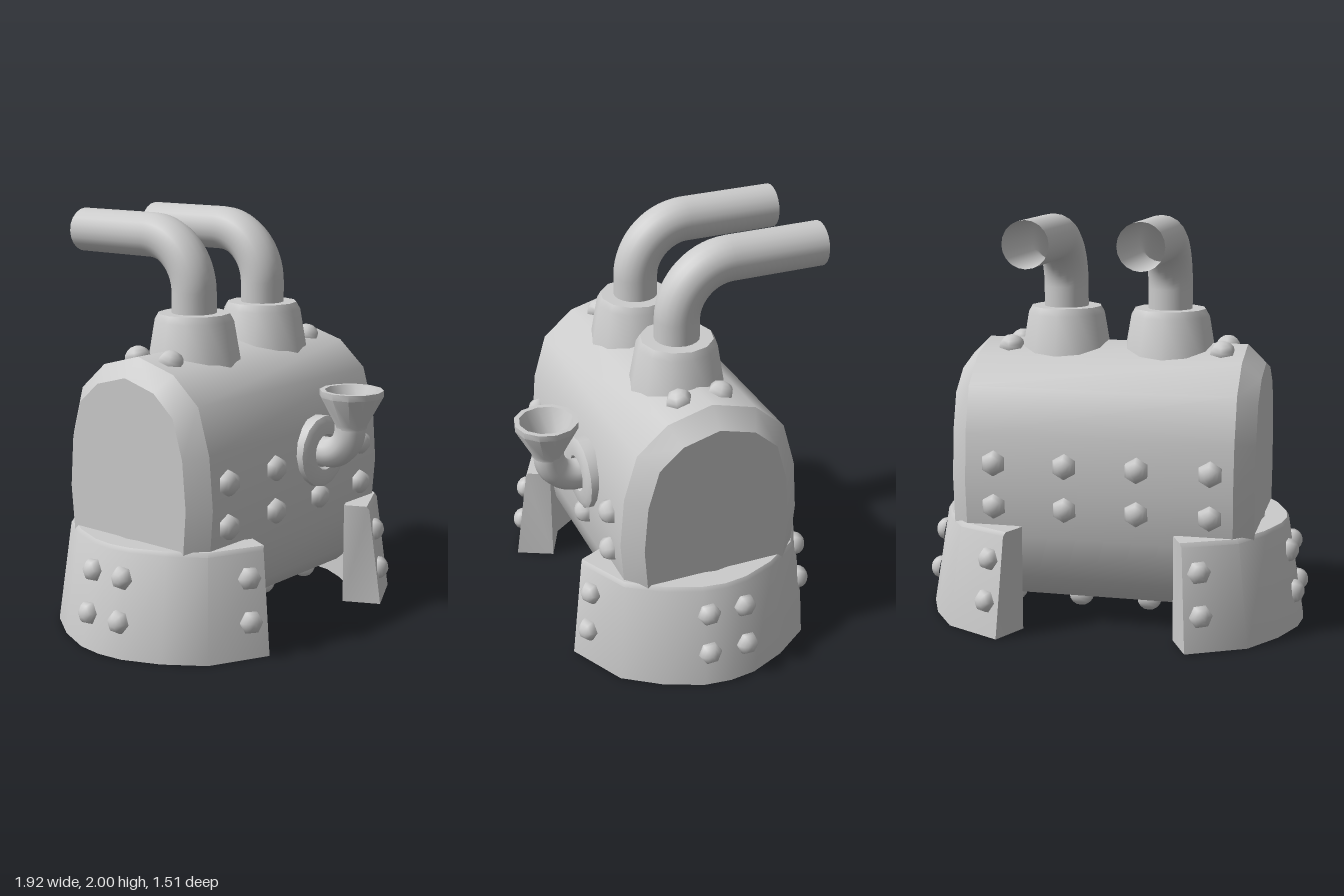
import * as THREE from 'three';
import { toCreasedNormals } from 'three/addons/utils/BufferGeometryUtils.js';

const material = new THREE.MeshStandardMaterial({ color: 0xcccccc });
const openMaterial = new THREE.MeshStandardMaterial({ color: 0xcccccc, side: THREE.DoubleSide });
const MID_Z = -0.03; // centre plane of the boiler
const V = (x, y, z) => new THREE.Vector3(x, y, z);

function addMesh(parent, name, geometry, mat = material) {
  const mesh = new THREE.Mesh(geometry, mat);
  mesh.name = name;
  parent.add(mesh);
  return mesh;
}

// Six-sided domed bolt, its dome pointing along the normal
const boltGeometry = new THREE.SphereGeometry(0.064, 6, 4, 0, Math.PI * 2, 0, Math.PI / 2)
  .rotateY(Math.PI / 2).scale(1, 0.88, 1);

function addBolt(parent, name, position, normal, size = 1) {
  const bolt = addMesh(parent, name, boltGeometry);
  bolt.position.copy(position);
  bolt.quaternion.setFromUnitVectors(V(0, 1, 0), normal.clone().normalize());
  bolt.scale.setScalar(size);
}

function lathe(points, segments) {
  const profile = points.map(([r, y]) => new THREE.Vector2(r, y));
  return toCreasedNormals(new THREE.LatheGeometry(profile, segments), 0.6);
}

// Pipe running from a to b with a rounded elbow between the two bend points
function elbowPipe(a, bendStart, corner, bendEnd, b, radius, sides) {
  const k = 0.5523;
  const path = new THREE.CurvePath();
  path.add(new THREE.LineCurve3(a, bendStart));
  path.add(new THREE.CubicBezierCurve3(bendStart, bendStart.clone().lerp(corner, k),
    bendEnd.clone().lerp(corner, k), bendEnd));
  path.add(new THREE.LineCurve3(bendEnd, b));
  return new THREE.TubeGeometry(path, 40, radius, sides);
}

// Boiler: squarish oval section with bevelled ends
function makeBody() {
  const quarter = [[0, 0.66], [0.22, 0.6], [0.37, 0.47], [0.435, 0.25], [0.455, 0]];
  const half = [...quarter, ...quarter.slice(0, -1).reverse().map(([z, y]) => [z, -y])];
  const outline = [...half, ...half.slice(1, -1).reverse().map(([z, y]) => [-z, y])];
  const shape = new THREE.Shape(outline.map(([z, y]) => new THREE.Vector2(z, y)));
  const geometry = new THREE.ExtrudeGeometry(shape, {
    depth: 1.3, bevelEnabled: true, bevelSegments: 1,
    bevelSize: 0.085, bevelOffset: -0.085, bevelThickness: 0.09,
  });
  geometry.translate(0, 0, -0.65).rotateY(Math.PI / 2).translate(0, 0.71, MID_Z - 0.005);
  return toCreasedNormals(geometry, 0.66);
}

// Curved foot: half outlines from the end to the middle, as [x, z]
const footBottom = [[0.457, 0.63], [0.735, 0.49], [0.86, 0.31], [0.935, 0.13], [0.95, 0]];
const footTop = [[0.43, 0.57], [0.68, 0.445], [0.79, 0.28], [0.855, 0.115], [0.87, 0]];
const footInner = [[0.37, 0.455], [0.57, 0.36], [0.67, 0.22], [0.735, 0.09], [0.75, 0]];

function makeFoot() {
  const rings = footBottom.map((bottom, i) => {
    const [inner, top] = [footInner[i], footTop[i]];
    return [
      [inner[0], 0, inner[1]],
      [bottom[0], 0, bottom[1]],
      [top[0], 0.495, top[1]],
      [top[0] - 0.012, 0.515, top[1] * 0.985],
      [inner[0], 0.515, inner[1]],
    ];
  });
  const mirrored = rings.slice(0, -1).reverse().map((ring) => ring.map(([x, y, z]) => [x, y, -z]));
  const stations = [...rings, ...mirrored];
  const n = 5;
  const last = (stations.length - 1) * n;
  const index = [];
  for (let i = 0; i < stations.length - 1; i++) {
    for (let j = 0; j < n; j++) {
      const a = i * n + j, d = i * n + (j + 1) % n;
      index.push(a, a + n, d + n, a, d + n, d);
    }
  }
  for (let j = 1; j < n - 1; j++) {
    index.push(0, j, j + 1, last, last + j + 1, last + j);
  }
  const geometry = new THREE.BufferGeometry();
  geometry.setAttribute('position', new THREE.Float32BufferAttribute(stations.flat(2), 3));
  geometry.setIndex(index);
  return toCreasedNormals(geometry.toNonIndexed(), 0.6);
}

// Two rows of bolts at four places round the foot
function addFootBolts(foot) {
  for (const [segment, t] of [[0, 0.28], [3, 0.22]]) {
    const at = (line) => new THREE.Vector2(...line[segment]).lerp(new THREE.Vector2(...line[segment + 1]), t);
    const bottom = at(footBottom), top = at(footTop);
    const edge = [0, 1].map((k) => footBottom[segment + 1][k] - footBottom[segment][k]);
    for (const y of [0.17, 0.375]) {
      const p = bottom.clone().lerp(top, y / 0.495);
      const normal = V(-edge[1], 0, edge[0]).normalize().setY(0.16);
      for (const s of [1, -1]) {
        addBolt(foot, 'footBolt', V(p.x, y, p.y * s), V(normal.x, normal.y, normal.z * s), 0.9);
      }
    }
  }
}

export function createModel() {
  const model = new THREE.Group();
  model.name = 'boiler';
  addMesh(model, 'body', makeBody());

  // Bolts round the boiler
  const bolts = new THREE.Group();
  bolts.name = 'bodyBolts';
  model.add(bolts);
  const columns = [-0.54, -0.19, 0.16, 0.51];
  columns.forEach((x, c) => {
    for (const s of [1, -1]) {
      for (const y of [0.61, 0.82]) {
        const underFlange = s === 1 && c === 2 && y > 0.7;
        if (!underFlange) addBolt(bolts, 'sideBolt', V(x, y, MID_Z + s * 0.445), V(0, 0, s));
      }
      const z = MID_Z - 0.005 + s * 0.105;
      addBolt(bolts, 'bottomBolt', V(x, 0.08, z), V(0, -1, s * 0.27));
      if (c === 0 || c === 3) addBolt(bolts, 'topBolt', V(x, 1.34, z), V(0, 1, s * 0.27));
    }
  });

  // Feet at both ends
  const footGeometry = makeFoot();
  [['leftFoot', 0], ['rightFoot', Math.PI]].forEach(([name, angle]) => {
    const foot = new THREE.Group();
    foot.name = name;
    foot.position.z = MID_Z;
    foot.rotation.y = angle;
    addMesh(foot, 'footPlate', footGeometry);
    addFootBolts(foot);
    model.add(foot);
  });

  // Exhaust stacks: tapered collar and bent open pipe
  const collar = lathe([[0.24, 1.24], [0.195, 1.5], [0.175, 1.535], [0.1, 1.535]], 12);
  const pipe = elbowPipe(V(0, 1.45, 0), V(0, 1.632, 0), V(0, 1.892, 0),
    V(0, 1.892, -0.26), V(0, 1.892, -0.73), 0.109, 20);
  [['leftExhaust', 0.258], ['rightExhaust', -0.265]].forEach(([name, x]) => {
    const exhaust = new THREE.Group();
    exhaust.name = name;
    exhaust.position.set(x, 0, -0.025);
    addMesh(exhaust, 'collar', collar);
    addMesh(exhaust, 'exhaustPipe', pipe, openMaterial);
    model.add(exhaust);
  });

  // Filler: wall flange, elbow and funnel
  const filler = new THREE.Group();
  filler.name = 'filler';
  filler.position.x = 0.165;
  model.add(filler);
  const flange = lathe([[0.178, 0], [0.178, 0.055], [0.15, 0.07], [0.09, 0.07], [0.08, 0.05], [0, 0.05]], 16);
  addMesh(filler, 'flange', flange.rotateX(Math.PI / 2).translate(0, 0.84, 0.39));
  addMesh(filler, 'fillerPipe', elbowPipe(V(0, 0.84, 0.4), V(0, 0.84, 0.465), V(0, 0.84, 0.598),
    V(0, 0.975, 0.598), V(0, 1.02, 0.598), 0.076, 12), openMaterial);
  const funnel = lathe([[0.076, 0.98], [0.08, 1.0], [0.155, 1.14], [0.155, 1.17],
    [0.13, 1.17], [0.078, 1.04], [0, 1.04]], 12);
  addMesh(filler, 'funnel', funnel.translate(0, 0, 0.603));

  return model;
}
